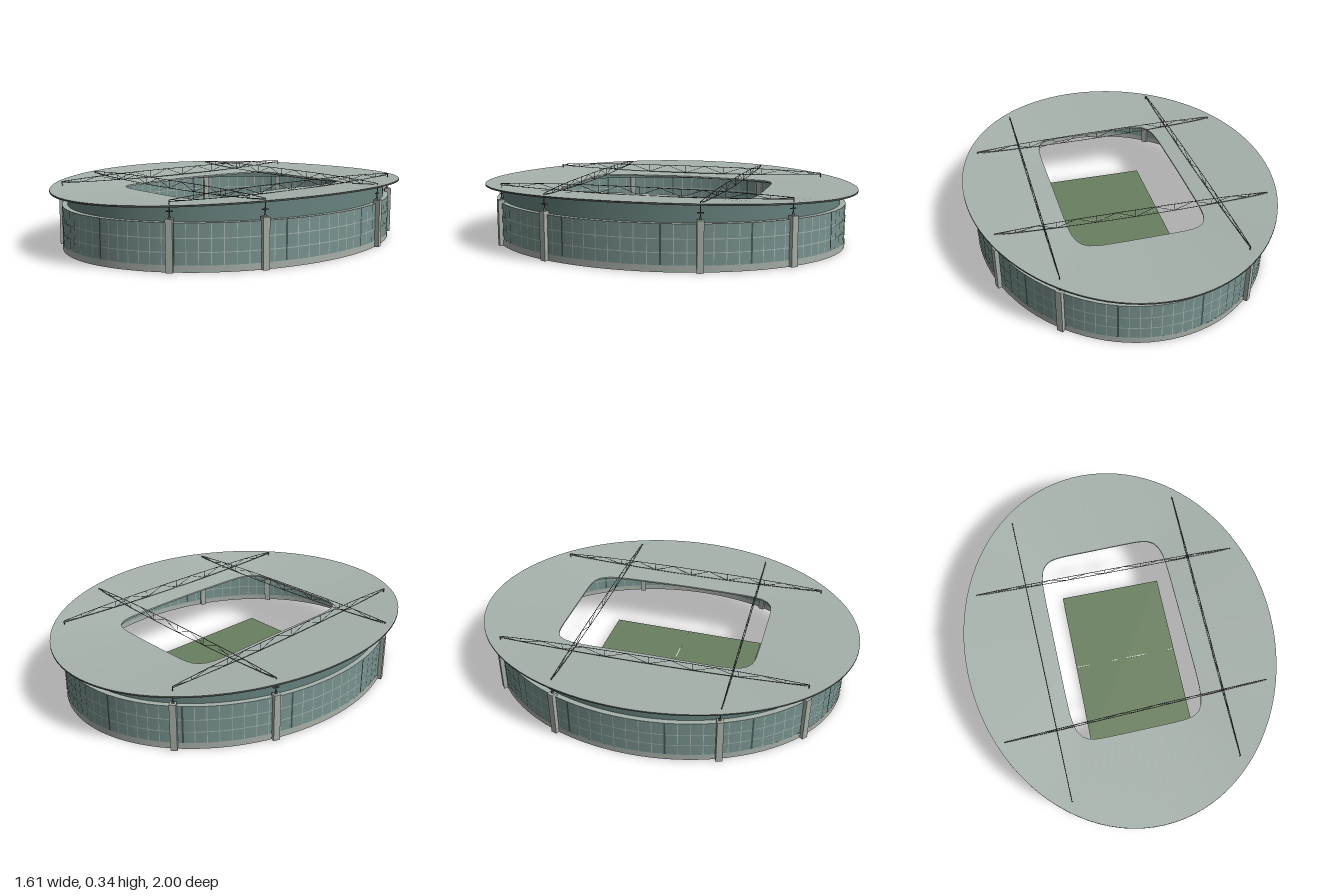
import * as THREE from 'three';
import { mergeGeometries } from 'three/addons/utils/BufferGeometryUtils.js';

const mat = (name, color) => {
  const m = new THREE.MeshStandardMaterial({ color, side: THREE.DoubleSide });
  m.name = name;
  return m;
};

const SEG = 96;
const RX = 0.755, RZ = 0.938; // facade radii
const V = (x, y, z) => new THREE.Vector3(x, y, z);

// Ellipse ring; y may be a number or a rule of the angle
const ring = (rx, rz, y) => (t) =>
  V(rx * Math.cos(t), typeof y === 'function' ? y(t) : y, rz * Math.sin(t));

// Closed surface strip between two rings (bottom first gives outward faces)
function loft(lower, upper) {
  const pos = [], idx = [];
  for (let i = 0; i < SEG; i++) {
    const t = (i / SEG) * Math.PI * 2;
    pos.push(...lower(t).toArray(), ...upper(t).toArray());
    const a = 2 * i, b = 2 * ((i + 1) % SEG);
    idx.push(a, a + 1, b, b, a + 1, b + 1);
  }
  const g = new THREE.BufferGeometry();
  g.setAttribute('position', new THREE.Float32BufferAttribute(pos, 3));
  g.setIndex(idx);
  g.computeVertexNormals();
  return g;
}

// Thin round bar between two points
function rod(a, b, r) {
  const d = b.clone().sub(a);
  const g = new THREE.CylinderGeometry(r, r, d.length(), 5);
  g.applyQuaternion(new THREE.Quaternion().setFromUnitVectors(V(0, 1, 0), d.normalize()));
  return g.translate((a.x + b.x) / 2, (a.y + b.y) / 2, (a.z + b.z) / 2);
}

const box = (w, h, d, x, y, z) => new THREE.BoxGeometry(w, h, d).translate(x, y, z);

// Piece standing on the facade line, turned to face outward
function onFacade(g, t) {
  const yaw = Math.atan2(Math.cos(t) / RX, Math.sin(t) / RZ);
  return g.rotateY(yaw).translate(RX * Math.cos(t), 0, RZ * Math.sin(t));
}

export function createModel() {
  const root = new THREE.Group();
  root.name = 'stadium';
  const roofMat = mat('roof grey', 0xa7b2ac);
  const glass = mat('facade glass', 0x78928f);
  const drumMat = mat('upper wall teal', 0x67827f);
  const concrete = mat('concrete', 0xa8b0a9);
  const mullionMat = mat('mullion', 0xaab7b2);
  const darkGlass = mat('dark slit', 0x435553);
  const steel = mat('dark steel', 0x4c514f);
  const grass = mat('grass', 0x69805f);
  const lineMat = mat('pitch line', 0xd0d6cb);

  const add = (name, geometry, material, parent = root) => {
    const m = new THREE.Mesh(geometry, material);
    m.name = name;
    parent.add(m);
    return m;
  };

  // Saddle roof: elliptical rim, rounded rectangular opening
  const rimY = (t) => 0.295 + 0.03 * Math.cos(t) ** 2;
  const THICK = 0.008;
  const outer = (dy) => ring(0.805, 1, (t) => rimY(t) + dy);
  const inner = (dy) => (t) => {
    const p = Math.atan2(Math.sin(t), 0.805 * Math.cos(t));
    const c = Math.cos(p), s = Math.sin(p);
    const r = (Math.abs(c / 0.342) ** 8 + Math.abs(s / 0.52) ** 8) ** (-1 / 8);
    return V(0.005 + r * c, 0.28 + 0.008 * c * c + dy, -0.008 + r * s);
  };
  const roof = new THREE.Group();
  roof.name = 'roof';
  root.add(roof);
  add('roofTop', loft(outer(0), inner(0)), roofMat, roof);
  add('roofUnderside', loft(inner(-THICK), outer(-THICK)), roofMat, roof);
  add('roofRim', loft(outer(-THICK), outer(0)), steel, roof);
  add('roofOpeningEdge', loft(inner(0), inner(-THICK)), roofMat, roof);

  // Walls, with a ledge closing the step between facade and upper wall
  add('upperWall', loft(ring(0.73, 0.91, 0.222), ring(0.73, 0.91, (t) => rimY(t) - 0.009)), drumMat);
  add('wallLedge', loft(ring(RX, RZ, 0.222), ring(0.73, 0.91, 0.222)), roofMat);
  add('facade', loft(ring(RX, RZ, 0.03), ring(RX, RZ, 0.222)), glass);
  add('basePlinth', loft(ring(RX + 0.002, RZ + 0.002, 0), ring(RX + 0.002, RZ + 0.002, 0.032)), concrete);

  // Facade grid of thin plates, on both faces of the glass
  const rails = [], mullions = [], slits = [];
  for (const o of [-0.0025, 0.0025]) {
    for (const y of [0.09, 0.153])
      rails.push(loft(ring(RX + o, RZ + o, y - 0.002), ring(RX + o, RZ + o, y + 0.002)));
    for (let i = 0; i < SEG; i++) {
      const t = (i / SEG) * Math.PI * 2;
      const slit = [5, 14, 21].includes(i % 24);
      const plate = new THREE.PlaneGeometry(slit ? 0.009 : 0.0035, 0.188).translate(0, 0.127, o);
      (slit ? slits : mullions).push(onFacade(plate, t));
    }
  }
  add('facadeRails', mergeGeometries(rails), mullionMat);
  add('facadeMullions', mergeGeometries(mullions), mullionMat);
  add('facadeSlits', mergeGeometries(slits), darkGlass);

  // Roof trusses, each carried by a pillar at both ends
  const trusses = [
    [-0.43, -0.77, -0.412, 0.795],
    [0.47, -0.738, 0.447, 0.755],
    [-0.69, -0.385, 0.7, -0.358],
    [-0.683, 0.435, 0.683, 0.405],
  ];
  trusses.forEach(([x0, z0, x1, z1], n) => {
    const N = 14, parts = [];
    const at = (i, top) => {
      const f = i / N, s = Math.abs(2 * f - 1);
      const y = top ? 0.337 - 0.015 * s ** 3 : 0.297 + 0.018 * s * s;
      return V(x0 + (x1 - x0) * f, y, z0 + (z1 - z0) * f);
    };
    for (let i = 0; i < N; i++) {
      parts.push(rod(at(i, true), at(i + 1, true), 0.0017));
      parts.push(rod(at(i, false), at(i + 1, false), 0.0017));
      parts.push(rod(at(i, i % 2 === 0), at(i + 1, i % 2 === 1), 0.0012));
      if (i % 2) parts.push(rod(at(i, false), at(i, true), 0.0012));
    }
    const ends = [[x0, z0], [x1, z1]];
    ends.forEach(([x, z], e) => {
      const t = Math.atan2(z / RZ, x / RX);
      const head = V(RX * Math.cos(t), 0.24, RZ * Math.sin(t));
      // Hanger from truss end down to the pillar head
      parts.push(rod(head, at(e * N, true), 0.0025));
      parts.push(onFacade(box(0.03, 0.004, 0.01, 0, 0.272, 0), t));
      parts.push(onFacade(new THREE.ConeGeometry(0.008, 0.024, 6).translate(0, 0.252, 0), t));

      add(`pillar${n * 2 + e + 1}`, onFacade(box(0.032, 0.24, 0.034, 0, 0.12, 0.004), t), concrete);
    });
    add(`truss${n + 1}`, mergeGeometries(parts), steel);
  });

  // Playing field
  const field = new THREE.Group();
  field.name = 'field';
  field.position.set(0.03, 0, 0.03);
  field.rotation.y = -0.018;
  add('pitch', box(0.555, 0.006, 0.855, 0, 0.006, 0), grass, field);
  for (const [x, w] of [[-0.24, 0.07], [-0.06, 0.03], [0.06, 0.11], [0.255, 0.03]])
    add('halfwayLine', box(w, 0.002, 0.005, x, 0.0095, 0), lineMat, field);
  root.add(field);

  return root;
}
